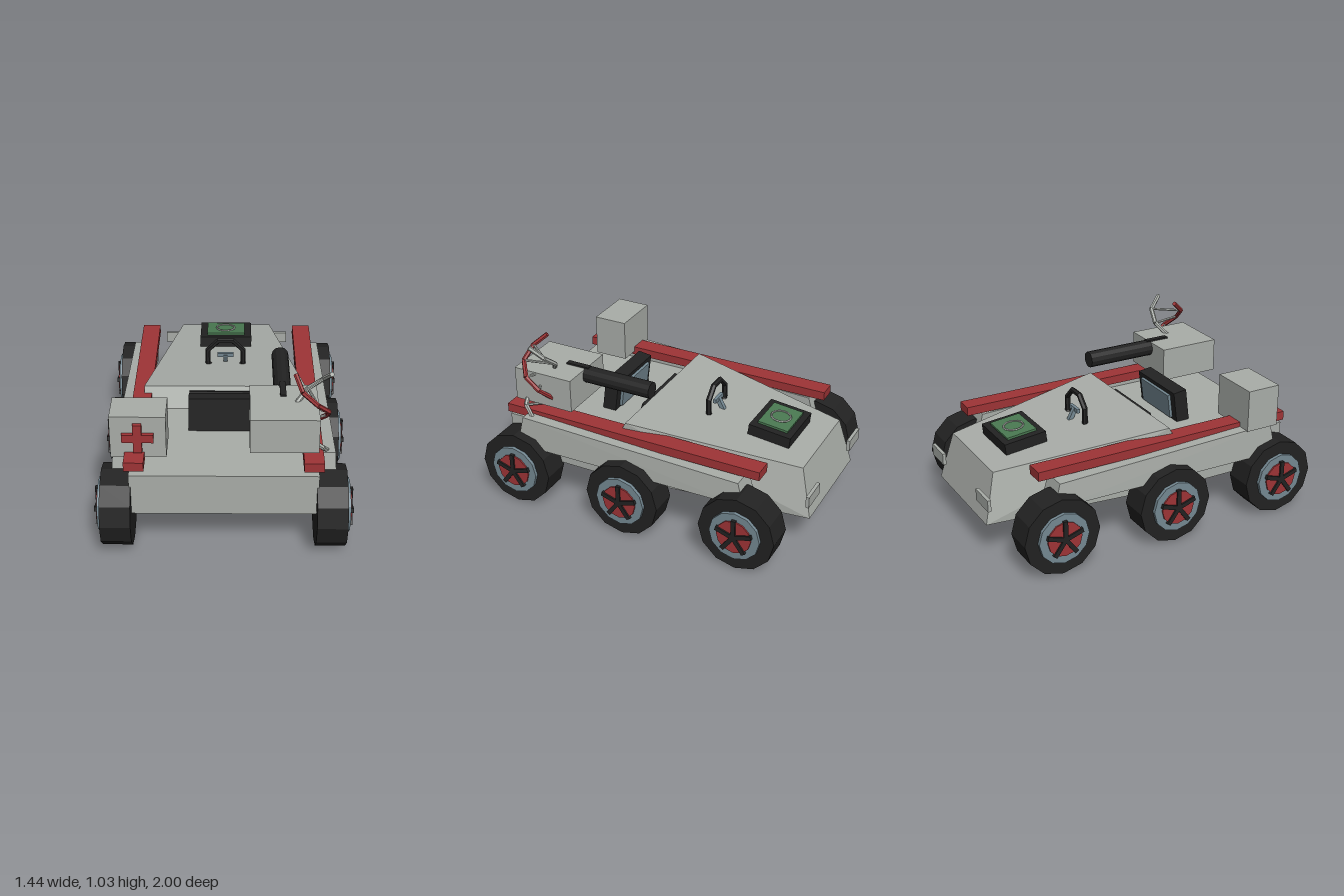
import * as THREE from 'three';
import { ConvexGeometry } from 'three/addons/geometries/ConvexGeometry.js';

const paint = (name, color) => {
  const m = new THREE.MeshStandardMaterial({ color, flatShading: true });
  m.name = name;
  return m;
};

export function createModel() {
  const root = new THREE.Group();
  root.name = 'sixWheeledRover';
  const grey = paint('hullGrey', 0xa9ada8);
  const red = paint('signalRed', 0x9e3436);
  const black = paint('rubberBlack', 0x222222);
  const blue = paint('steelBlue', 0x748892);
  const green = paint('screenGreen', 0x4a7a52);

  const add = (name, geo, mat, pos = [0, 0, 0], parent = root) => {
    const m = new THREE.Mesh(geo, mat);
    m.name = name;
    m.position.set(...pos);
    parent.add(m);
    return m;
  };
  // box given by its extents on each axis
  const box = (name, mat, [x0, x1], [y0, y1], [z0, z1], parent = root) =>
    add(name, new THREE.BoxGeometry(x1 - x0, y1 - y0, z1 - z0), mat,
      [(x0 + x1) / 2, (y0 + y1) / 2, (z0 + z1) / 2], parent);
  const convex = (name, mat, pts) =>
    add(name, new ConvexGeometry(pts.map(p => new THREE.Vector3(...p))), mat);
  const rod = (name, mat, a, b, r, parent) => {
    const d = b.clone().sub(a);
    const m = add(name, new THREE.CylinderGeometry(r, r, d.length(), 6), mat,
      a.clone().add(b).multiplyScalar(0.5).toArray(), parent);
    m.quaternion.setFromUnitVectors(new THREE.Vector3(0, 1, 0), d.normalize());
  };

  // Rear bed and tapered wedge hull
  box('rearBed', grey, [-0.52, 0.52], [0.25, 0.5], [0.12, 0.89]);
  convex('wedgeHull', grey, [-1, 1].flatMap(s => [
    [s * 0.34, 0.22, -0.985], [s * 0.29, 0.51, -0.91],
    [s * 0.48, 0.62, 0.12], [s * 0.48, 0.5, 0.18], [s * 0.48, 0.23, 0.18],
  ]));

  for (const s of [-1, 1]) {
    const side = s > 0 ? 'left' : 'right';
    const span = (a, b) => (s > 0 ? [a, b] : [-b, -a]);
    // Sloping side sponsons
    convex(side + 'Sponson', grey, [
      [0.56, 0.74, 0.615], [0.37, 0.78, 0.625], [0.51, -0.65, 0.595], [0.37, -0.69, 0.605],
    ].flatMap(([y, z, x]) => [[s * x, y, z], [s * 0.45, y, z]]));
    box(side + 'Rail', red, span(0.435, 0.545), [0.528, 0.582], [-0.753, 0.89]);
    box(side + 'Lamp', grey, span(0.245, 0.41), [0.34, 0.41], [-1, -0.98]);

    // Three wheels on each side
    for (const z of [0.77, 0.045, -0.68]) {
      const wheel = new THREE.Group();
      wheel.name = side + 'Wheel';
      wheel.position.set(0, 0.231, z);
      root.add(wheel);
      const disc = (name, mat, r, x0, x1) => {
        const m = add(name, new THREE.CylinderGeometry(r, r, x1 - x0, 12), mat,
          [s * (x0 + x1) / 2, 0, 0], wheel);
        m.rotation.z = Math.PI / 2;
      };
      disc('tyre', black, 0.231, 0.51, 0.68);
      disc('rim', blue, 0.153, 0.6, 0.7);
      disc('hub', red, 0.105, 0.6, 0.709);
      for (let i = 0; i < 5; i++) {
        const a = i * Math.PI * 2 / 5;
        const spoke = add('spoke', new THREE.BoxGeometry(0.02, 0.115, 0.026), black,
          [s * 0.709, Math.cos(a) * 0.056, Math.sin(a) * 0.056], wheel);
        spoke.rotation.x = a;
      }
    }
  }

  // Seat back with cushion, and dark panel on the back of the hull
  const seat = new THREE.Group();
  seat.name = 'seat';
  seat.position.set(0, 0.595, 0.375);
  seat.rotation.x = -0.13;
  root.add(seat);
  box('seatBack', black, [-0.207, 0.207], [-0.1, 0.1], [-0.043, 0.043], seat);
  box('seatCushion', blue, [-0.16, 0.16], [-0.075, 0.075], [-0.06, -0.043], seat);
  const panel = box('dashPanel', black, [-0.21, 0.21], [0.5, 0.6], [0.14, 0.17]);
  panel.rotation.x = -0.3;

  // Steering wheel, partly sunk in the hull
  const ring = add('steeringWheel', new THREE.TorusGeometry(0.118, 0.017, 6, 8), black, [0, 0.63, -0.235]);
  ring.rotation.z = Math.PI / 8;
  const column = add('steeringColumn', new THREE.BoxGeometry(0.026, 0.1, 0.026), blue, [0, 0.6, -0.265]);
  column.rotation.x = 0.5;
  box('steeringSpoke', blue, [-0.05, 0.05], [0.625, 0.65], [-0.255, -0.235]);

  // Console with screen and ring, lying along the hull slope
  const consoleUnit = new THREE.Group();
  consoleUnit.name = 'console';
  consoleUnit.position.set(0, 0.54, -0.64);
  consoleUnit.rotation.x = -0.107;
  root.add(consoleUnit);
  box('consoleCase', black, [-0.163, 0.163], [-0.02, 0.065], [-0.13, 0.13], consoleUnit);
  box('consoleScreen', green, [-0.12, 0.12], [0.06, 0.078], [-0.093, 0.093], consoleUnit);
  add('screenRing', new THREE.TorusGeometry(0.058, 0.006, 5, 14), grey, [-0.003, 0.08, 0], consoleUnit)
    .rotation.x = Math.PI / 2;

  // Medical box with a raised cross
  box('medicalBox', grey, [-0.622, -0.315], [0.55, 0.805], [0.57, 0.78]);
  box('crossUpright', red, [-0.494, -0.446], [0.592, 0.765], [0.78, 0.805]);
  box('crossBar', red, [-0.556, -0.382], [0.655, 0.705], [0.78, 0.804]);

  // Equipment box with barrel
  box('equipmentBox', grey, [0.14, 0.515], [0.62, 0.825], [0.46, 0.84]);
  add('barrel', new THREE.CylinderGeometry(0.05, 0.05, 0.44, 12), black, [0.325, 0.783, 0.245])
    .rotation.x = Math.PI / 2;
  box('barrelRod', black, [0.308, 0.342], [0.8, 0.835], [0.44, 0.59]);

  // Double helix: two strands of straight pieces joined by rungs
  const helix = new THREE.Group();
  helix.name = 'helix';
  root.add(helix);
  const N = 7;
  const at = (i, phase) => {
    const t = i / N * Math.PI * 2 + phase;
    return new THREE.Vector3(0.48 - 0.097 * Math.cos(t), 1.02 - 0.485 * i / N, 0.685 + 0.097 * Math.sin(t));
  };
  for (let i = 0; i < N; i++) {
    rod('redStrand', red, at(i, 0), at(i + 1, 0), 0.014, helix);
    rod('greyStrand', grey, at(i, Math.PI), at(i + 1, Math.PI), 0.014, helix);
    if (i) rod('rung', grey, at(i, 0), at(i, Math.PI), 0.008, helix);
  }
  return root;
}
